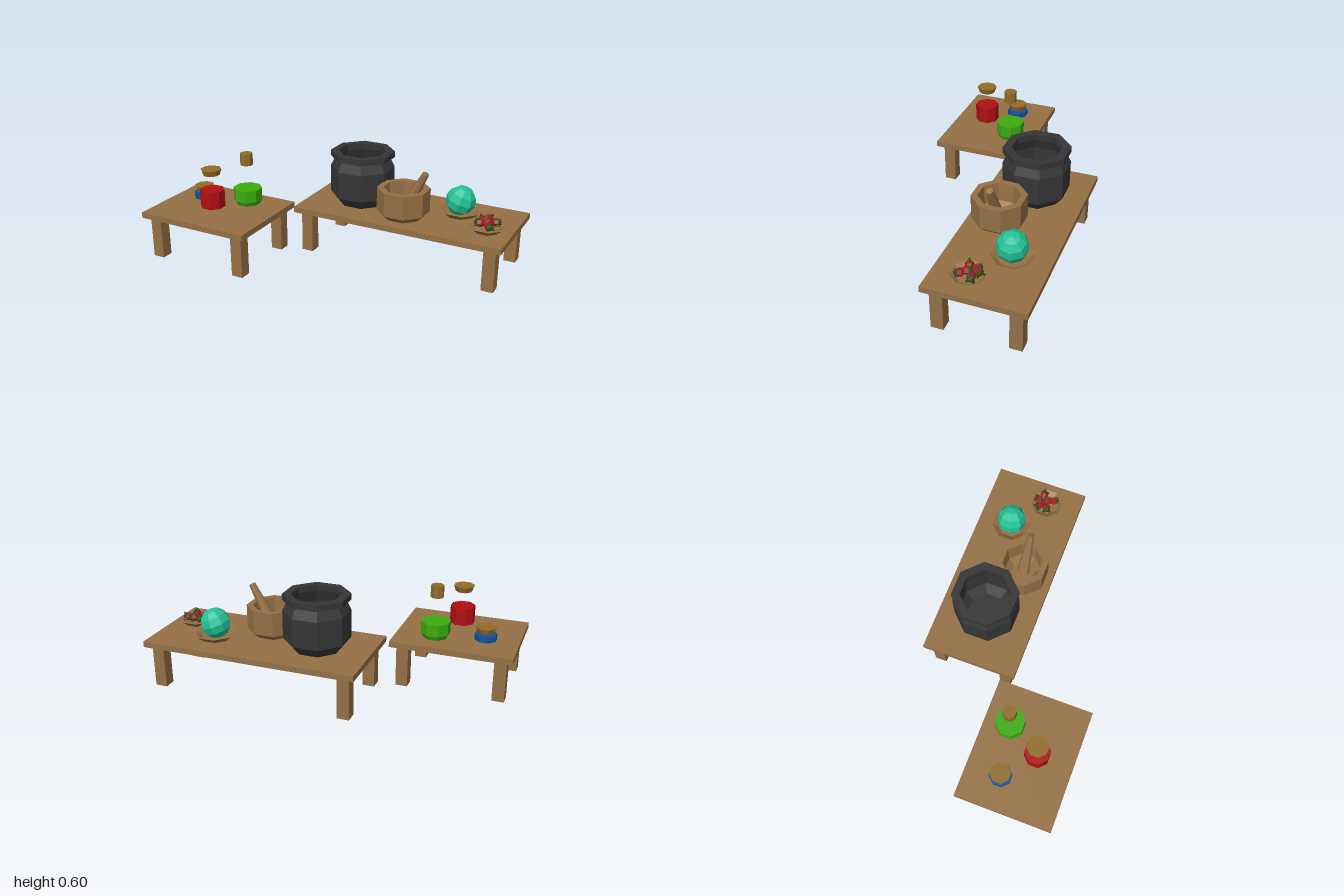
import * as THREE from 'three';

const paint = (name, color) => {
  const m = new THREE.MeshStandardMaterial({ color });
  m.name = name;
  return m;
};
const mats = {
  wood: paint('wood', 0x957045),
  iron: paint('iron', 0x363638),
  cork: paint('cork', 0x926d2a),
  red: paint('red potion', 0xb00f12),
  green: paint('green potion', 0x3cab10),
  blue: paint('blue potion', 0x10519c),
  crystal: paint('crystal', 0x22c297),
  berry: paint('berry', 0x9a2228),
  leaf: paint('leaf', 0x2f4f12),
};

// Faceted mesh: every face gets its own normal
function part(parent, name, geometry, material, x = 0, y = 0, z = 0) {
  const g = geometry.index ? geometry.toNonIndexed() : geometry;
  g.computeVertexNormals();
  const mesh = new THREE.Mesh(g, material);
  mesh.name = name;
  mesh.position.set(x, y, z);
  parent.add(mesh);
  return mesh;
}

// Eight-sided turned shape; radii are measured to the flat sides
function turned(profile) {
  const pts = profile.map(([r, y]) => new THREE.Vector2(r / Math.cos(Math.PI / 8), y));
  return new THREE.LatheGeometry(pts, 8, Math.PI / 8);
}

function table(parent, name, x0, x1, z0, z1) {
  const t = new THREE.Group();
  t.name = name;
  const cx = (x0 + x1) / 2, cz = (z0 + z1) / 2;
  part(t, 'tableTop', new THREE.BoxGeometry(x1 - x0, 0.034, z1 - z0), mats.wood, cx, 0.266, cz);
  for (const x of [x0 + 0.07, x1 - 0.07])
    for (const z of [z0 + 0.07, z1 - 0.07])
      part(t, 'tableLeg', new THREE.BoxGeometry(0.07, 0.25, 0.07), mats.wood, x, 0.125, z);
  parent.add(t);
}

// Potion fill with its stopper floating above
function potion(parent, name, x, z, material, fill, stopper) {
  const p = new THREE.Group();
  p.name = name;
  p.position.set(x, 0, z);
  const closed = (s) => turned([[0, s[0][1]], ...s, [0, s[s.length - 1][1]]]);
  part(p, 'liquid', closed(fill), material);
  part(p, 'stopper', closed(stopper), mats.cork);
  parent.add(p);
}

function bowl(parent, name, x, z, r, h) {
  part(parent, name, turned([
    [0, 0], [r * 0.64, 0], [r, h], [r * 0.86, h], [r * 0.6, 0.012], [0, 0.012],
  ]), mats.wood, x, 0.283, z);
}

export function createModel() {
  const root = new THREE.Group();
  root.name = 'potionTables';

  table(root, 'smallTable', -1, -0.3, -0.035, 0.527);
  table(root, 'largeTable', -0.263, 1, -0.527, 0.035);

  // Potions
  potion(root, 'redPotion', -0.64, 0.317, mats.red,
    [[0.067, 0.32], [0.067, 0.422]], [[0.045, 0.513], [0.056, 0.547]]);
  potion(root, 'bluePotion', -0.81, 0.167, mats.blue,
    [[0.06, 0.294], [0.06, 0.327]], [[0.045, 0.337], [0.055, 0.37]]);
  potion(root, 'greenPotion', -0.53, 0.118, mats.green,
    [[0.066, 0.29], [0.079, 0.316], [0.079, 0.387]], [[0.035, 0.53], [0.035, 0.6]]);

  // Cauldron with a thick overhanging rim
  part(root, 'cauldron', turned([
    [0, 0.284], [0.13, 0.284], [0.175, 0.343], [0.175, 0.505], [0.148, 0.566],
    [0.175, 0.566], [0.175, 0.6], [0.13, 0.6], [0.13, 0.566], [0.155, 0.5],
    [0.155, 0.36], [0.11, 0.31], [0, 0.31],
  ]), mats.iron, 0.05, 0, -0.247);

  // Mortar and leaning pestle
  part(root, 'mortar', turned([
    [0, 0.284], [0.105, 0.284], [0.141, 0.318], [0.141, 0.457], [0.108, 0.457],
    [0.1, 0.35], [0.065, 0.312], [0, 0.312],
  ]), mats.wood, 0.362, 0, -0.144);
  const pestle = part(root, 'pestle', new THREE.CylinderGeometry(0.019, 0.038, 0.27, 8),
    mats.wood, 0.432, 0.444, -0.14);
  pestle.rotation.z = -0.48;

  // Crystal ball in its bowl
  bowl(root, 'crystalBowl', 0.645, -0.323, 0.125, 0.036);
  const ball = part(root, 'crystalBall', new THREE.SphereGeometry(0.088, 8, 6),
    mats.crystal, 0.645, 0.37, -0.32);
  ball.rotation.set(0, 0.2, -0.35);

  // Berries with leafy caps
  bowl(root, 'berryBowl', 0.852, -0.168, 0.103, 0.032);
  const berries = [
    // x, y, z, heading, tilt
    [0.815, 0.328, -0.205, 2.4, 0.1],
    [0.85, 0.335, -0.222, 0.9, -0.2],
    [0.9, 0.328, -0.2, 0.1, 0.0],
    [0.81, 0.328, -0.155, 3.5, 0.15],
    [0.86, 0.337, -0.17, 1.6, 0.2],
    [0.88, 0.326, -0.125, -0.9, 0.0],
  ];
  for (const [x, y, z, heading, tilt] of berries) {
    const b = new THREE.Group();
    b.name = 'berry';
    b.position.set(x, y, z);
    b.rotation.set(0, heading, tilt);
    const body = part(b, 'berryBody', new THREE.CylinderGeometry(0.02, 0.024, 0.02, 6), mats.berry);
    body.rotation.z = -Math.PI / 2;
    const tip = part(b, 'berryTip', new THREE.CylinderGeometry(0.024, 0.008, 0.03, 6), mats.berry, -0.025);
    tip.rotation.z = -Math.PI / 2;
    const cap = part(b, 'berryCap', new THREE.CylinderGeometry(0.01, 0.023, 0.012, 6), mats.leaf, 0.016);
    cap.rotation.z = -Math.PI / 2;
    for (let i = 0; i < 3; i++) {
      const a = (i * Math.PI * 2) / 3;
      const leaf = part(b, 'berryLeaf', new THREE.ConeGeometry(0.007, 0.032, 4), mats.leaf,
        0.006, Math.cos(a) * 0.021, Math.sin(a) * 0.021);
      leaf.rotation.z = Math.PI / 2;
    }
    root.add(b);
  }
  return root;
}
